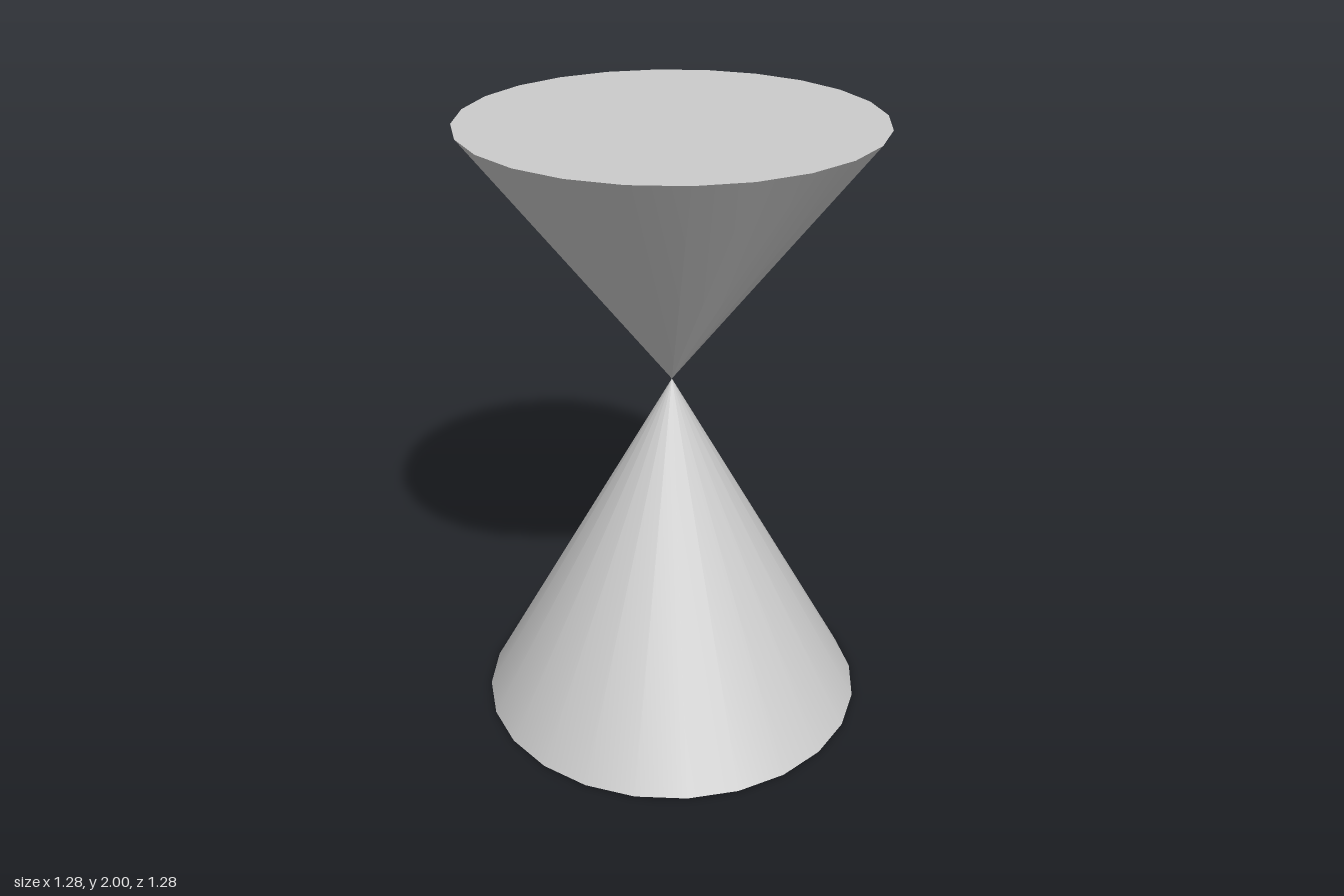
import * as THREE from 'three';

const RADIUS = 0.64;
const HEIGHT = 2;
const WAIST = 1.167; // height at which the two tips meet
const SIDES = 24;

export function createModel() {
  const model = new THREE.Group();
  model.name = 'doubleCone';
  const material = new THREE.MeshStandardMaterial({ color: 0xcccccc });

  // Closed cone spanning two heights, with the tip at the waist
  function addCone(name, bottom, top, rBottom, rTop) {
    const geometry = new THREE.CylinderGeometry(rTop, rBottom, top - bottom, SIDES);
    const cone = new THREE.Mesh(geometry, material);
    cone.name = name;
    cone.position.y = (bottom + top) / 2;
    model.add(cone);
  }

  addCone('lowerCone', 0, WAIST, RADIUS, 0);
  addCone('upperCone', WAIST, HEIGHT, 0, RADIUS);

  return model;
}
